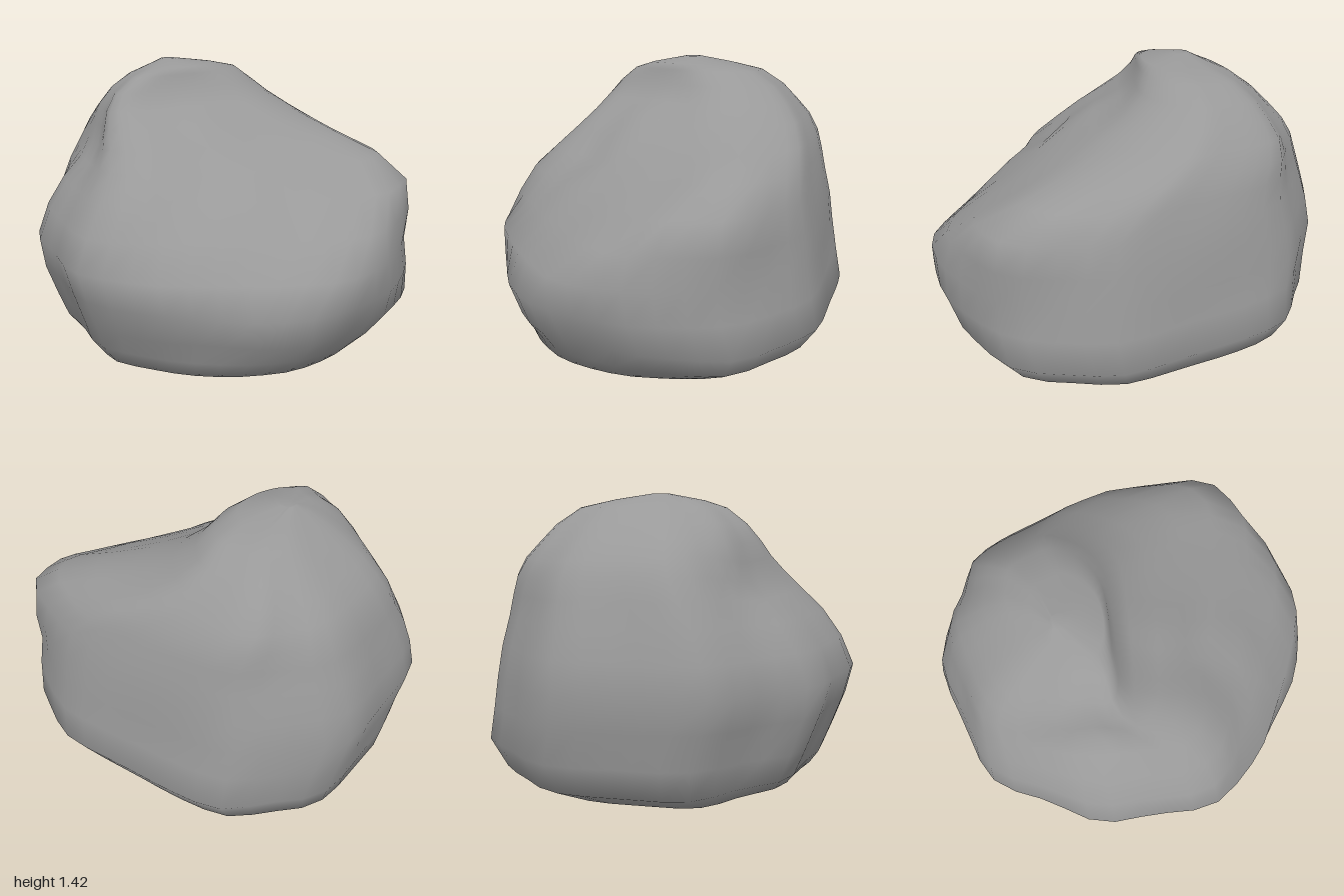
import * as THREE from 'three';

// Plan outline of the boulder, x and z
const OUTLINE = [
  [-0.48, -0.9], [-0.25, -0.92], [0.1, -0.89], [0.5, -0.84], [0.64, -0.75], [0.87, -0.52],
  [0.96, -0.28], [1, 0], [0.9, 0.38], [0.75, 0.57], [0.6, 0.7], [0.4, 0.81], [0.15, 0.88],
  [-0.12, 0.92], [-0.4, 0.78], [-0.66, 0.64], [-0.82, 0.4], [-1, 0.14], [-0.97, -0.2],
  [-0.87, -0.58], [-0.67, -0.76],
];

// Extents at each height: y, x min, x max, z min, z max
const LEVELS = [
  [0, -0.02, 0.02, -0.02, 0.02], [0, -0.75, 0.8, -0.68, 0.73],
  [0.09, -0.9, 0.88, -0.84, 0.77], [0.23, -0.935, 0.97, -0.92, 0.83], [0.4, -0.965, 1.01, -0.89, 0.89],
  [0.55, -0.995, 1, -0.865, 0.92], [0.7, -0.965, 0.98, -0.845, 0.86], [0.84, -0.925, 0.93, -0.81, 0.76],
  [0.95, -0.88, 0.77, -0.785, 0.64], [1.04, -0.845, 0.55, -0.76, 0.55], [1.13, -0.79, 0.3, -0.715, 0.48],
  [1.21, -0.72, 0.13, -0.65, 0.43], [1.29, -0.63, 0.01, -0.57, 0.36], [1.36, -0.52, -0.06, -0.45, 0.26],
  [1.39, -0.44, -0.13, -0.28, 0.15], [1.415, -0.39, -0.3, -0.1, -0.02],
];

// Slope facing front and left: height, direction x, direction z, distance from the middle axis
const SLOPE = [
  [0, 0.62, 0.78, 1.2], [0.5, 0.62, 0.78, 0.89], [0.7, 0.65, 0.76, 0.68], [0.85, 0.75, 0.66, 0.53],
  [0.97, 0.8, 0.6, 0.35], [1.1, 0.86, 0.51, 0.15], [1.25, 0.88, 0.48, -0.09], [1.45, 0.88, 0.48, -0.13],
];

// Local bumps and hollows: x, y, z, radius, amount
const DENTS = [
  [0.5, 0.3, 0.75, 0.2, -0.035], [-0.6, 0.4, 0.65, 0.18, 0.025], [0.95, 0.25, 0.1, 0.18, -0.03],
  [0.2, 0.85, 0.38, 0.14, -0.045], [0.42, 0.75, 0.38, 0.14, 0.035], [-0.85, 0.7, -0.4, 0.18, 0.02],
  [0.83, 0.82, -0.48, 0.2, 0.06], [0.1, 1.08, 0.15, 0.13, 0.03], [0.93, 0.72, 0.05, 0.13, -0.025],
  [-0.6, 1.1, 0.42, 0.25, -0.06], [-0.82, 1.06, 0.16, 0.2, 0.045], [0.85, 0.12, -0.5, 0.2, 0.035],
  [-0.7, 0.2, 0.6, 0.2, 0.03], [0.6, 1, -0.5, 0.18, 0.035], [-0.55, 1.15, -0.55, 0.22, -0.045],
  [-0.85, 0.5, -0.58, 0.2, 0.025],
];

const SIDES = 44;

function slopeAt(y) {
  const k = SLOPE.findIndex((row) => row[0] > y) - 1;
  const t = (y - SLOPE[k][0]) / (SLOPE[k + 1][0] - SLOPE[k][0]);
  return SLOPE[k].map((v, n) => THREE.MathUtils.lerp(v, SLOPE[k + 1][n], t));
}

function shapePoint(p) {
  // Press the stone back to the slope, with a soft transition
  const [, nx, nz, distance] = slopeAt(p.y);
  const d = nx * p.x + nz * p.z - distance;
  const over = (d + Math.sqrt(d * d + 0.003)) / 2;
  p.x -= 0.95 * nx * over;
  p.z -= 0.95 * nz * over;
  // Dents and fine unevenness, pushed along the direction from the core
  const dir = new THREE.Vector3(p.x + 0.05, (p.y - 0.5) * 0.8, p.z).normalize();
  let push = 0.006 * Math.sin(7 * p.x + 4 * p.y + 1) * Math.sin(6 * p.z - 5 * p.y)
    * THREE.MathUtils.smoothstep(p.y, 0.02, 0.25);
  for (const [x, y, z, r, amount] of DENTS) {
    const d2 = (p.x - x) ** 2 + (p.y - y) ** 2 + (p.z - z) ** 2;
    push += amount * Math.exp(-d2 / (r * r));
  }
  // The base rises slightly towards the left and the front
  const tilt = (0.028 + 0.034 * p.x + 0.014 * p.z) * Math.max(0, 1 - p.y / 0.3);
  p.addScaledVector(dir, push);
  p.y = Math.max(0, p.y + tilt);
  return p;
}

function boulderGeometry() {
  const curve = new THREE.CatmullRomCurve3(
    OUTLINE.map(([x, z]) => new THREE.Vector3(x, 0, z)), true, 'centripetal');
  const plan = curve.getSpacedPoints(SIDES).slice(0, SIDES);
  const positions = [];
  const index = [];
  for (const [y, x0, x1, z0, z1] of LEVELS) {
    for (const o of plan) {
      const p = new THREE.Vector3(
        (x0 + x1) / 2 + o.x * (x1 - x0) / 2, y, (z0 + z1) / 2 + (o.z / 0.92) * (z1 - z0) / 2);
      positions.push(...shapePoint(p).toArray());
    }
  }
  // Skin between neighbouring rings
  for (let i = 0; i < LEVELS.length - 1; i++) {
    for (let j = 0; j < SIDES; j++) {
      const a = i * SIDES + j;
      const b = i * SIDES + (j + 1) % SIDES;
      index.push(a, a + SIDES, b, b, a + SIDES, b + SIDES);
    }
  }
  // Close the small openings at the base and the peak
  const last = (LEVELS.length - 1) * SIDES;
  for (let j = 1; j < SIDES - 1; j++) {
    index.push(0, j, j + 1, last, last + j + 1, last + j);
  }
  const geometry = new THREE.BufferGeometry();
  geometry.setAttribute('position', new THREE.Float32BufferAttribute(positions, 3));
  geometry.setIndex(index);
  geometry.computeVertexNormals();
  return geometry;
}

export function createModel() {
  const group = new THREE.Group();
  group.name = 'rock';
  const boulder = new THREE.Mesh(boulderGeometry(), new THREE.MeshStandardMaterial({ color: 0x999999 }));
  boulder.name = 'boulder';
  group.add(boulder);
  return group;
}
